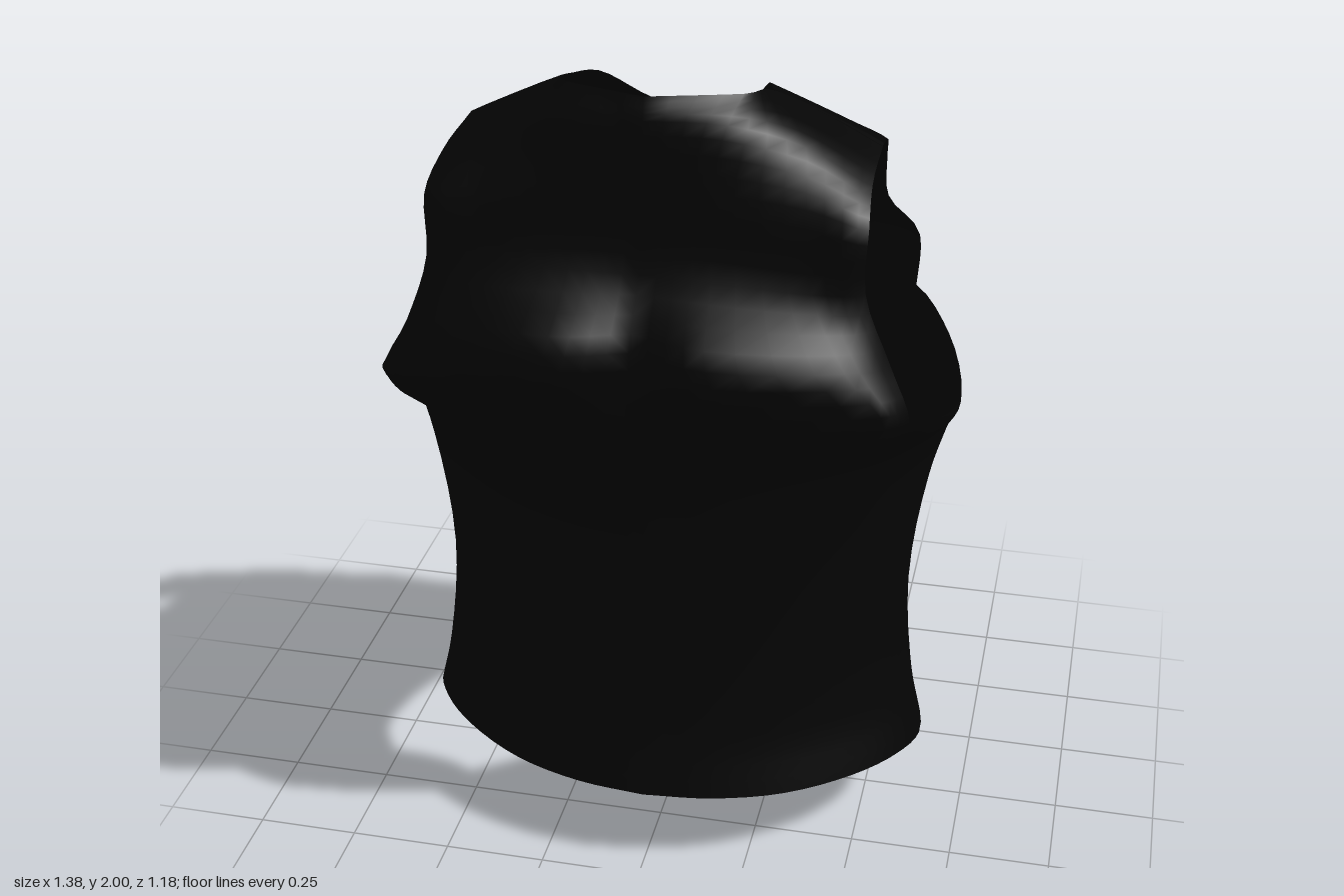
import * as THREE from 'three';
import { mergeGeometries, mergeVertices } from 'three/addons/utils/BufferGeometryUtils.js';

const V = (x, y, z) => new THREE.Vector3(x, y, z);

// Plan outlines of one half, centre front to centre back: x by half width, z by front / back depth
const bodyPlan = [[0, -1], [0.29, -0.9], [0.55, -0.77], [0.77, -0.58], [0.92, -0.28], [0.99, 0.13],
  [0.92, 0.36], [0.775, 0.585], [0.53, 0.82], [0.26, 0.955], [0, 1]];
const chestPlan = [[0, -1], [0.29, -0.9], [0.55, -0.75], [0.78, -0.5], [0.92, -0.27], [1, 0.15],
  [0.965, 0.5], [0.88, 0.82], [0.81, 0.94], [0.34, 1.04], [0, 1.01]];

// Lower body rows: plan, half width, front depth, back depth, heights per column
const lower = [
  [bodyPlan, 0.645, 0.59, 0.45, [0, 0.05, 0.1, 0.15, 0.2, 0.22, 0.22, 0.215, 0.21, 0.21, 0.21]],
  [bodyPlan, 0.615, 0.58, 0.405, [0.16, 0.2, 0.24, 0.28, 0.33, 0.36, 0.37, 0.37, 0.37, 0.37, 0.37]],
  [bodyPlan, 0.59, 0.555, 0.39, Array(11).fill(0.65)],
  [bodyPlan, 0.63, 0.525, 0.425, Array(11).fill(0.98)],
  [bodyPlan, 0.667, 0.505, 0.475, Array(11).fill(1.12)],
  [chestPlan, 0.69, 0.48, 0.52, [1.28, 1.28, 1.3, 1.34, 1.27, 1.22, 1.25, 1.31, 1.32, 1.3, 1.3]],
];

// Upper rows: four points from front edge to armhole, four from armhole to centre back
const upper = [
  [[0, 1.46, -0.43], [0.19, 1.46, -0.41], [0.36, 1.46, -0.36], [0.535, 1.45, -0.295],
    [0.555, 1.43, 0.395], [0.47, 1.455, 0.505], [0.18, 1.47, 0.59], [0, 1.47, 0.535]],
  [[0, 1.67, -0.32], [0.17, 1.645, -0.315], [0.32, 1.62, -0.275], [0.465, 1.59, -0.19],
    [0.495, 1.6, 0.405], [0.38, 1.6, 0.43], [0.16, 1.61, 0.435], [0, 1.61, 0.43]],
  [[0.135, 1.81, -0.17], [0.22, 1.79, -0.17], [0.34, 1.75, -0.155], [0.465, 1.71, -0.13],
    [0.495, 1.745, 0.395], [0.36, 1.78, 0.395], [0.15, 1.8, 0.4], [0, 1.8, 0.4]],
  [[0.2, 1.91, -0.02], [0.28, 1.88, -0.02], [0.38, 1.835, -0.03], [0.475, 1.785, -0.05],
    [0.485, 1.805, 0.29], [0.34, 1.89, 0.31], [0.18, 1.945, 0.365], [0, 1.95, 0.39]],
  [[0.237, 1.95, 0.13], [0.31, 1.915, 0.12], [0.39, 1.875, 0.11], [0.48, 1.825, 0.1],
    [0.48, 1.825, 0.08], [0.245, 1.95, 0.14], [0.2, 1.99, 0.285], [0, 2, 0.375]],
];

const COLS = 10, ROWS = 10, N = 4;
const rows = lower.map(([plan, w, f, b, ys]) =>
  plan.map(([x, z], i) => V(x * w, ys[i], z < 0 ? z * f : z * b)));
rows[0][0].x = 0.05; // notch at the bottom of the front opening
for (const r of upper) {
  const p = r.map((a) => V(...a));
  const bridge = [0.25, 0.5, 0.75].map((t) => p[3].clone().lerp(p[4], t)); // guides across the armhole
  rows.push([...p.slice(0, 4), ...bridge, ...p.slice(4)]);
}
const rowCurves = rows.map((r) => new THREE.CatmullRomCurve3(r));

// Point on the half garment, u in columns and v in rows
function surface(u, v) {
  const column = new THREE.CatmullRomCurve3(rowCurves.map((c) => c.getPoint(u / COLS)));
  return column.getPoint(v / ROWS);
}

function surfaceOffset(u, v, d) {
  const e = 0.05, p = surface(u, v);
  const du = surface(u + e, v).sub(surface(Math.max(u - e, 0), v));
  const dv = surface(u, v + e).sub(surface(u, Math.max(v - e, 0)));
  return p.addScaledVector(dv.cross(du).normalize(), d);
}

// Grid of cells over part of the surface, raised by [bottom, top] offsets; side -1 mirrors it
function patch(u0, u1, v0, v1, nu, nv, offset, side, skip = () => false) {
  const pos = [], index = [];
  for (let j = 0; j <= nv; j++) for (let i = 0; i <= nu; i++) {
    const u = u0 + (u1 - u0) * i / nu, v = v0 + (v1 - v0) * j / nv;
    const p = offset
      ? surfaceOffset(u, v, THREE.MathUtils.lerp(offset[0], offset[1], j / nv))
      : surface(u, v);
    pos.push(p.x * side, p.y, p.z);
    if (i === nu || j === nv || skip(i, j)) continue;
    const a = j * (nu + 1) + i, b = a + 1, c = a + nu + 1, d = c + 1;
    index.push(...(side > 0 ? [a, c, b, b, c, d] : [a, b, c, b, d, c]));
  }
  const g = new THREE.BufferGeometry();
  g.setAttribute('position', new THREE.Float32BufferAttribute(pos, 3));
  g.setIndex(index);
  g.computeVertexNormals();
  return g;
}

export function createModel() {
  const model = new THREE.Group();
  const material = (name, color, side = THREE.FrontSide) => {
    const m = new THREE.MeshStandardMaterial({ color, side });
    m.name = name;
    return m;
  };
  const fabric = material('black fabric', 0x040404, THREE.DoubleSide);
  const trim = material('grey pocket trim', 0x7a7a7a, THREE.DoubleSide);
  const buttonBlack = material('button black', 0x080808);
  const buttonGrey = material('button light grey', 0xdcdcdc);
  const add = (name, geometry, mat, parent = model) => {
    const mesh = new THREE.Mesh(geometry, mat);
    mesh.name = name;
    parent.add(mesh);
    return mesh;
  };

  // Shell with open armholes, both halves welded at the centre
  const armhole = (i, j) => j >= 5 * N && i >= 3 * N && i < 7 * N;
  const halves = [1, -1].map((s) => patch(0, COLS, 0, ROWS, COLS * N, ROWS * N, null, s, armhole));
  halves.forEach((g) => g.deleteAttribute('normal'));
  const shell = mergeVertices(mergeGeometries(halves), 1e-4);
  shell.computeVertexNormals();
  add('vestBody', shell, fabric);

  // Overlapping front edge
  add('frontPlacket', patch(0, 0.3, 1.1, 6.8, 2, 24, [0.004, 0.004], 1), fabric);

  // Pocket flaps, standing off a little at the bottom
  add('leftPocketFlap', patch(1.4, 3.75, 1.77, 2.18, 10, 3, [0.026, 0.01], 1), trim);
  add('rightPocketFlap', patch(1.32, 2.45, 1.77, 2.18, 6, 3, [0.026, 0.01], -1), trim);

  // Buttons along the overlapping edge, facing out from the cloth: light disc with a dark face
  const disc = (r, h) => new THREE.CylinderGeometry(r, r, h, 16).rotateX(Math.PI / 2);
  for (const v of [6.5, 5.28, 3.86, 2.67, 2, 1.53]) {
    const button = new THREE.Group();
    button.name = 'button';
    button.position.copy(surfaceOffset(0.2, v, 0.009));
    button.lookAt(surfaceOffset(0.2, v, 1));
    add('buttonDisc', disc(0.027, 0.008), buttonGrey, button);
    add('buttonFace', disc(0.019, 0.01), buttonBlack, button);
    model.add(button);
  }

  return model;
}
